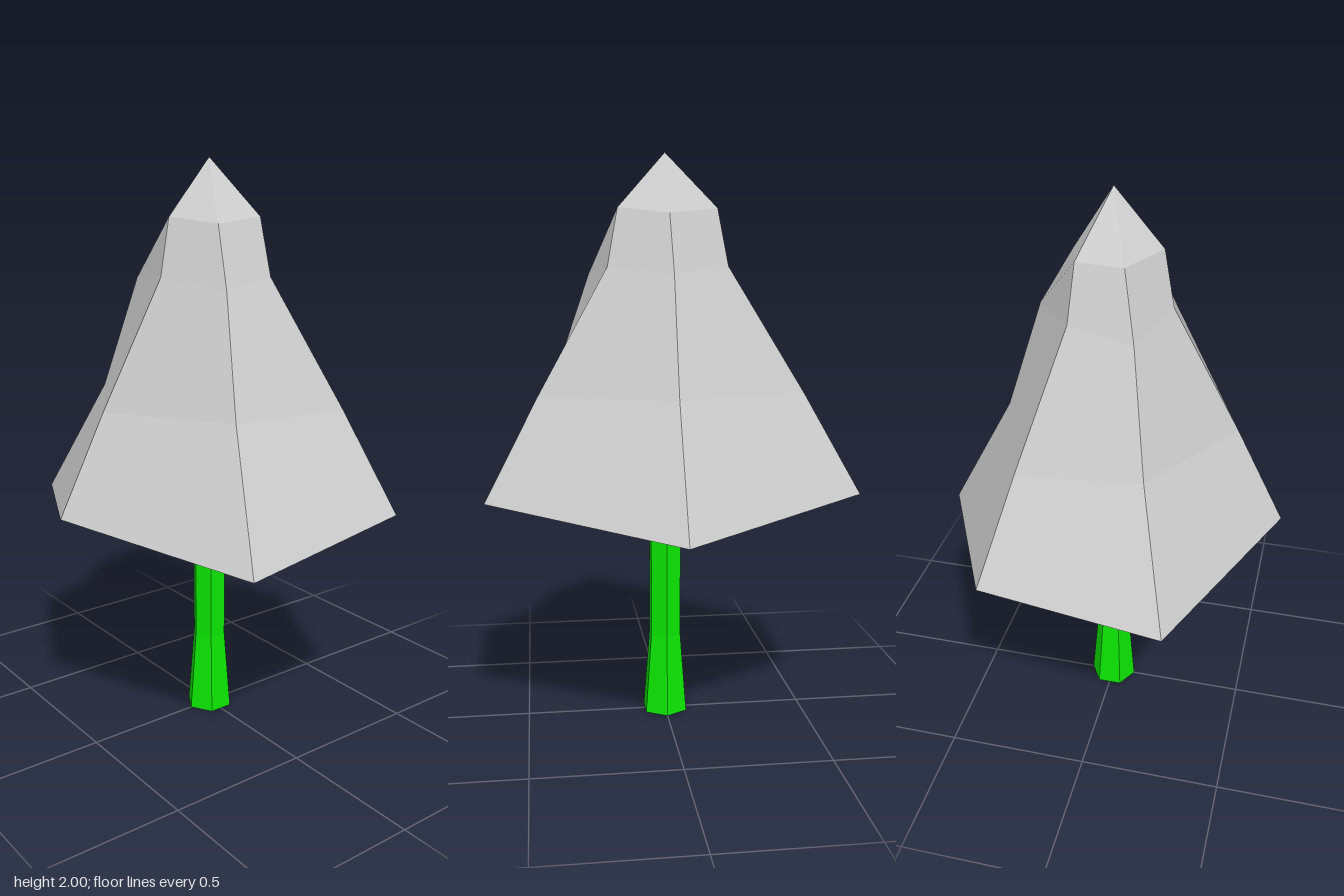
import * as THREE from 'three';

const SIDES = 6;
const STRETCH_X = 1.193; // the canopy is wider across x than a regular hexagon

// Canopy profiles [radius, y], rim to tip, for the raised and the drooping ridges
const RAISED = [[0.607, 0.855], [0.435, 1.19], [0.2, 1.615], [0.165, 1.81], [0, 2]];
const DROOPING = [[0.607, 0.765], [0.38, 1.19], [0.25, 1.59], [0.133, 1.79], [0, 2]];

// Corner of the canopy on a ridge (0 = front, counting towards +x) and a ring (0 = rim)
function corner(ridge, ring) {
  const [r, y] = (ridge % 2 ? DROOPING : RAISED)[ring];
  const angle = (ridge / SIDES) * Math.PI * 2;
  return new THREE.Vector3(Math.sin(angle) * r * STRETCH_X, y, Math.cos(angle) * r);
}

// Polygons fanned from their first corner, each shaded with one average normal
function polygonGeometry(polygons) {
  const positions = [];
  const normals = [];
  for (const points of polygons) {
    const normal = new THREE.Vector3();
    const triangles = [];
    for (let i = 1; i < points.length - 1; i++) {
      const [a, b, c] = [points[0], points[i], points[i + 1]];
      triangles.push(a, b, c);
      normal.add(b.clone().sub(a).cross(c.clone().sub(a)));
    }
    normal.normalize();
    for (const p of triangles) {
      positions.push(p.x, p.y, p.z);
      normals.push(normal.x, normal.y, normal.z);
    }
  }
  const geometry = new THREE.BufferGeometry();
  geometry.setAttribute('position', new THREE.Float32BufferAttribute(positions, 3));
  geometry.setAttribute('normal', new THREE.Float32BufferAttribute(normals, 3));
  return geometry;
}

function canopyGeometry() {
  const polygons = [];
  const tip = RAISED.length - 1;
  for (let ridge = 0; ridge < SIDES; ridge++) {
    const next = (ridge + 1) % SIDES;
    // Panels of one side, closed by a triangle at the tip
    for (let ring = 0; ring < tip - 1; ring++) {
      polygons.push([
        corner(ridge, ring), corner(next, ring),
        corner(next, ring + 1), corner(ridge, ring + 1),
      ]);
    }
    polygons.push([corner(ridge, tip - 1), corner(next, tip - 1), corner(ridge, tip)]);
  }
  // Underside, fanned from the back corner
  polygons.push([3, 2, 1, 0, 5, 4].map((ridge) => corner(ridge, 0)));
  return polygonGeometry(polygons);
}

export function createModel() {
  const group = new THREE.Group();
  group.name = 'tree';

  // Leafy canopy with a closed underside
  const canopy = new THREE.Mesh(
    canopyGeometry(),
    new THREE.MeshStandardMaterial({ color: 0xcccccc })
  );
  canopy.name = 'canopy';

  // Hexagonal trunk, flared at the foot
  const trunkProfile = [[0, 0], [0.085, 0], [0.061, 0.29], [0.061, 0.82], [0, 0.82]];
  const trunk = new THREE.Mesh(
    new THREE.LatheGeometry(trunkProfile.map(([r, y]) => new THREE.Vector2(r, y)), SIDES),
    new THREE.MeshStandardMaterial({ color: 0x0ce702, flatShading: true })
  );
  trunk.name = 'trunk';

  group.add(canopy, trunk);
  return group;
}
